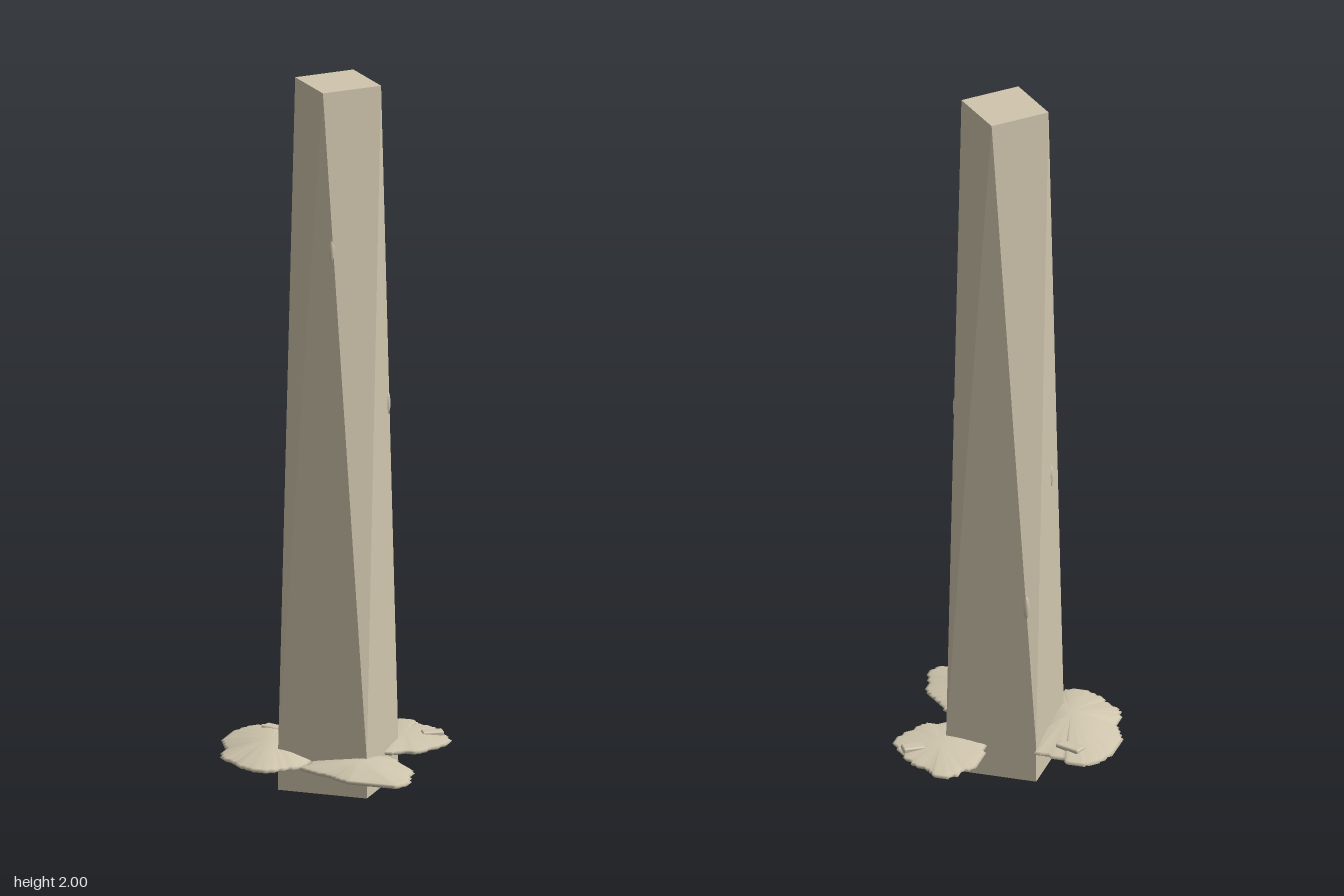
import * as THREE from 'three';
import { RoundedBoxGeometry } from 'three/addons/geometries/RoundedBoxGeometry.js';

const stone = new THREE.MeshStandardMaterial({ color: 0xd0c6ae, name: 'sandstone' });
const CX = 0.02, CZ = 0.025; // tower axis

function add(group, name, geometry, x = 0, y = 0, z = 0) {
  const mesh = new THREE.Mesh(geometry, stone);
  mesh.name = name;
  mesh.position.set(x, y, z);
  group.add(mesh);
  return mesh;
}

function indexed(positions, index) {
  const g = new THREE.BufferGeometry();
  g.setAttribute('position', new THREE.Float32BufferAttribute(positions, 3));
  g.setIndex(index);
  return g;
}

// Square plinth twisting by 45 degrees into a square roof
function towerGeometry() {
  const pos = [], index = [];
  const ring = (radius, y, offset) => {
    for (let i = 0; i < 4; i++) {
      const a = offset + i * Math.PI / 2;
      pos.push(Math.cos(a) * radius, y, -Math.sin(a) * radius);
    }
  };
  const corner = 0.129 * Math.SQRT2;
  ring(corner, 0, Math.PI / 4);
  ring(corner, 0.11, Math.PI / 4);
  ring(0.125, 2, 0);
  for (let i = 0; i < 4; i++) {
    const j = (i + 1) % 4;
    index.push(i, j, 4 + j, i, 4 + j, 4 + i);                     // plinth
    index.push(4 + i, 4 + j, 8 + j, 4 + i, 8 + j, 8 + i);         // long triangles
  }
  index.push(8, 9, 10, 8, 10, 11, 0, 2, 1, 0, 3, 2);              // roof, underside
  const g = indexed(pos, index).toNonIndexed();
  g.computeVertexNormals();
  return g;
}

// Low mound with a stepped rim, a domed top and a nearly flat underside
function moundGeometry(outline, cx, cz, height) {
  const step = 0.0105, rim = [];
  const snap = v => Math.round(v / step) * step;
  outline.forEach(([x, z], i) => {
    const [x2, z2] = outline[(i + 1) % outline.length];
    const n = Math.max(1, Math.round(Math.hypot(x2 - x, z2 - z) / step));
    for (let k = 0; k < n; k++) {
      const p = [snap(x + (x2 - x) * k / n), snap(z + (z2 - z) * k / n)];
      const q = rim[rim.length - 1];
      if (!q || Math.hypot(p[0] - q[0], p[1] - q[1]) > 0.001) rim.push(p);
    }
  });
  const dome = s => 0.093 + height * (1 - s * s) ** 1.3;
  const rings = [0.2, 0.4, 0.6, 0.8, 0.95].map(s => [s, dome(s)]);
  rings.push([1, 0.09], [0.95, 0.083], [0.5, 0.082]);
  const n = rim.length, pos = [cx, dome(0), cz], index = [];
  for (const [s, y] of rings)
    for (const [x, z] of rim) pos.push(cx + (x - cx) * s, y, cz + (z - cz) * s);
  const last = pos.length / 3;
  pos.push(cx, 0.082, cz);
  for (let i = 0; i < n; i++) {
    const j = (i + 1) % n;
    index.push(0, 1 + j, 1 + i);
    for (let r = 0; r < rings.length - 1; r++) {
      const a = 1 + r * n, b = a + n;
      index.push(a + i, b + j, b + i, a + i, a + j, b + j);
    }
    index.push(last, last - n + i, last - n + j);
  }
  const g = indexed(pos, index);
  g.computeVertexNormals();
  return g;
}

export function createModel() {
  const model = new THREE.Group();
  model.name = 'tower';
  add(model, 'towerShaft', towerGeometry(), CX, 0, CZ);

  // Mounds around the foot
  add(model, 'moundRight', moundGeometry([
    [-0.316, -0.055], [-0.295, -0.115], [-0.26, -0.148], [-0.22, -0.148], [-0.195, -0.13],
    [-0.11, -0.115], [-0.07, -0.08], [-0.03, 0.08], [-0.01, 0.16], [-0.01, 0.215],
    [-0.07, 0.275], [-0.1, 0.297], [-0.13, 0.297], [-0.17, 0.275], [-0.23, 0.225],
    [-0.265, 0.195], [-0.275, 0.11], [-0.3, 0.065], [-0.316, 0.035],
  ], -0.15, 0.09, 0.03));
  add(model, 'moundFront', moundGeometry([
    [0.15, 0.038], [0.17, 0.04], [0.2, 0.06], [0.235, 0.1], [0.27, 0.135], [0.293, 0.165],
    [0.3, 0.22], [0.315, 0.26], [0.315, 0.285], [0.295, 0.31], [0.2, 0.31], [0.18, 0.32],
    [0.16, 0.315], [0.12, 0.295], [0.08, 0.275], [0.03, 0.255], [-0.02, 0.23],
    [-0.01, 0.16], [0.05, 0.12],
  ], 0.14, 0.19, 0.022));
  add(model, 'moundBack', moundGeometry([
    [0.02, -0.17], [0.02, -0.245], [0.045, -0.265], [0.055, -0.3], [0.075, -0.322],
    [0.115, -0.322], [0.14, -0.292], [0.18, -0.28], [0.22, -0.25], [0.25, -0.215],
    [0.27, -0.175], [0.282, -0.165], [0.282, -0.125], [0.26, -0.08], [0.245, -0.045],
    [0.23, -0.02], [0.195, -0.02], [0.165, 0.012], [0.15, 0.015], [0.08, -0.02], [0.035, -0.1],
  ], 0.15, -0.15, 0.012));

  // Loose blocks lying on the mounds
  const blocks = [
    [0.06, 0.026, 0.036, 0.217, 0.094, -0.193, 0.55],
    [0.076, 0.026, 0.036, -0.197, 0.099, -0.073, -0.33],
    [0.046, 0.014, 0.014, -0.245, 0.099, 0.042, -1.25],
  ];
  for (const [w, h, d, x, y, z, turn] of blocks)
    add(model, 'looseBlock', new RoundedBoxGeometry(w, h, d, 1, 0.005), x, y, z).rotation.y = turn;

  // Small stone knobs set into the shaft edges
  for (const [x, y, z] of [[0.045, 1.55, 0.147], [0.144, 1.08, -0.03], [-0.08, 0.53, -0.1], [-0.104, 0.87, 0.045]])
    add(model, 'stoneKnob', new THREE.SphereGeometry(1, 8, 6), x, y, z).scale.set(0.009, 0.035, 0.009);
  return model;
}
